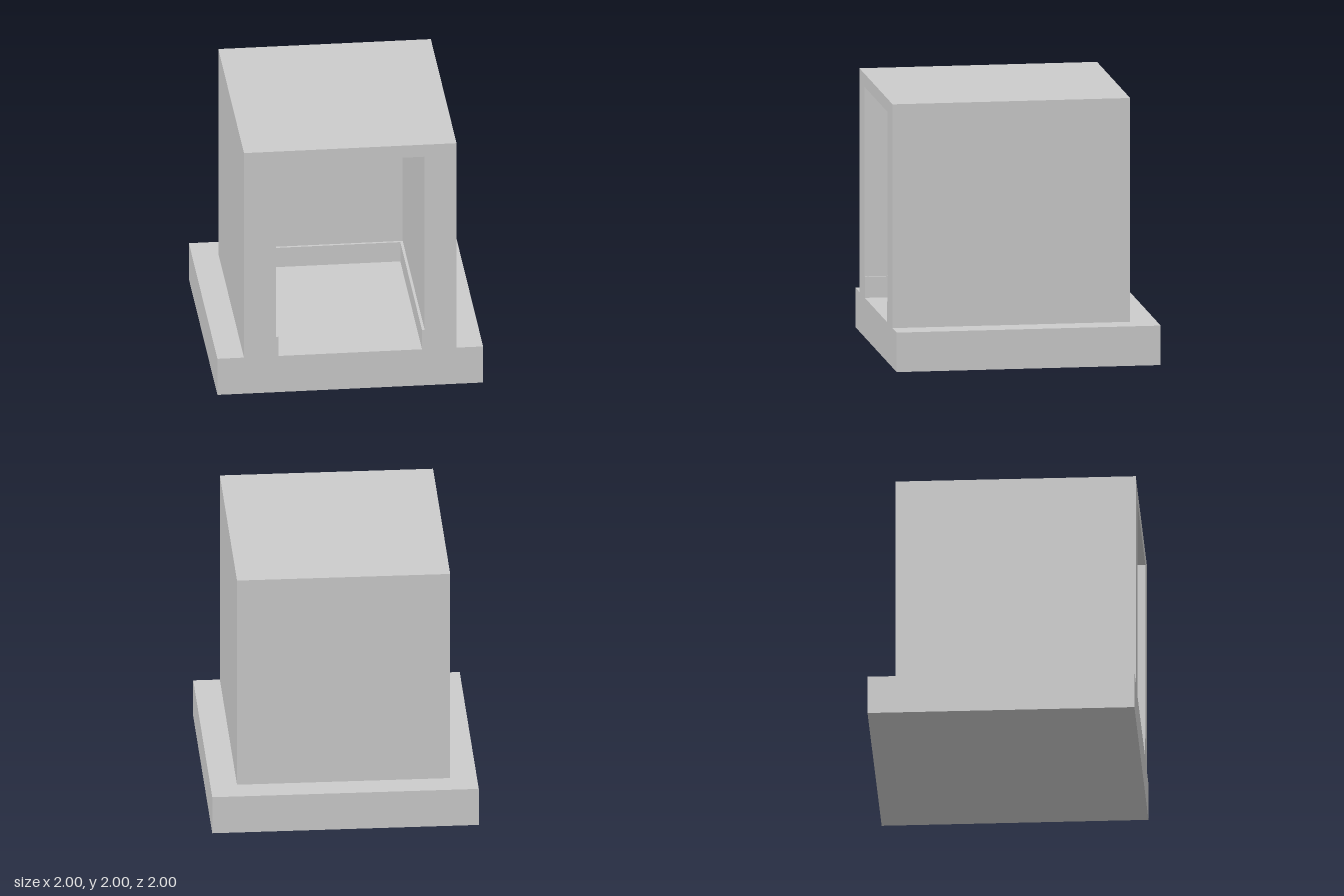
import * as THREE from 'three';

const material = new THREE.MeshStandardMaterial({ color: 0xcccccc, flatShading: true });

const BASE_TOP = 0.3, TOP = 2, FRONT = 1, BACK = -0.8;
const HALF_WIDTH = 0.8;                  // outer half width of the housing
const CAVITY_BACK = -0.54;               // rear face of the chamber
const LEDGE_TOP = 0.46, LEDGE = 0.02;    // small step around the chamber floor
const CAVITY_HALF = 0.56, CAVITY_TOP = 1.9;

// Box given by its minimum and maximum corners
function box(name, min, max) {
  const size = max.map((v, i) => v - min[i]);
  const mesh = new THREE.Mesh(new THREE.BoxGeometry(...size), material);
  mesh.position.set(...max.map((v, i) => (v + min[i]) / 2));
  mesh.name = name;
  return mesh;
}

export function createModel() {
  const model = new THREE.Group();
  model.name = 'openFrontedHousing';

  // Square plinth, flush with the housing at the front
  model.add(box('base', [-1, 0, -1], [1, BASE_TOP, FRONT]));

  // Side walls and roof as one arch profile with the stepped chamber cut out
  const inner = CAVITY_HALF - LEDGE;
  const half = [
    [inner, BASE_TOP], [inner, LEDGE_TOP], [CAVITY_HALF, LEDGE_TOP], [CAVITY_HALF, CAVITY_TOP],
  ];
  const mirrored = half.map(([x, y]) => [-x, y]).reverse();
  const outline = [
    [-HALF_WIDTH, BASE_TOP], ...mirrored.slice().reverse(), ...half.slice().reverse(),
    [HALF_WIDTH, BASE_TOP], [HALF_WIDTH, TOP], [-HALF_WIDTH, TOP],
  ];
  const shape = new THREE.Shape(outline.map(([x, y]) => new THREE.Vector2(x, y)));
  const shell = new THREE.Mesh(
    new THREE.ExtrudeGeometry(shape, { depth: FRONT - CAVITY_BACK, bevelEnabled: false }), material);
  shell.position.z = CAVITY_BACK;
  shell.name = 'wallsAndRoof';
  model.add(shell);

  // Rear wall and the step along its foot
  model.add(box('backWall', [-HALF_WIDTH, BASE_TOP, BACK], [HALF_WIDTH, TOP, CAVITY_BACK]));
  model.add(box('backLedge', [-inner, BASE_TOP, CAVITY_BACK], [inner, LEDGE_TOP, CAVITY_BACK + LEDGE]));

  return model;
}
